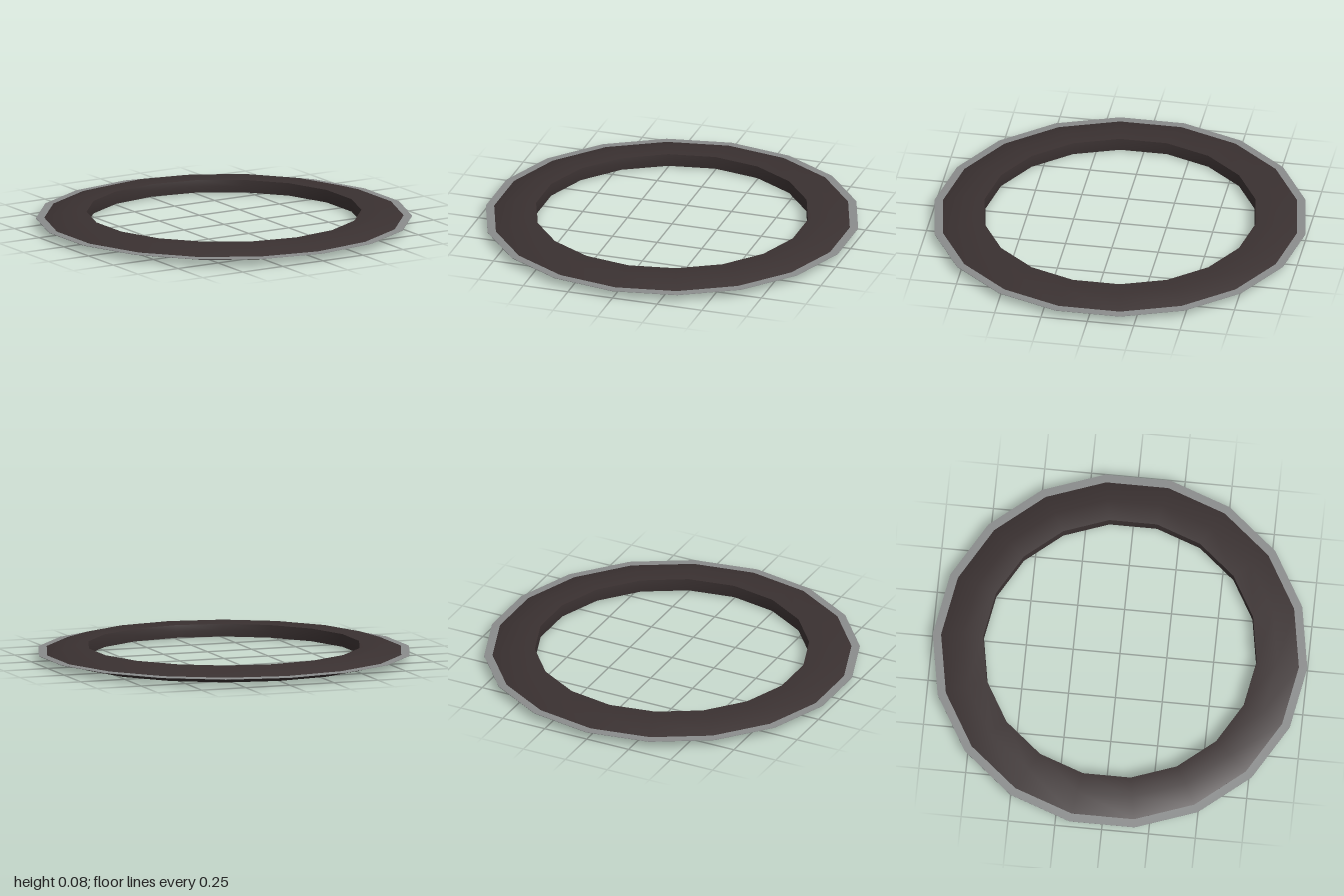
import * as THREE from 'three';
import { toCreasedNormals } from 'three/addons/utils/BufferGeometryUtils.js';

const SIDES = 18;

// Revolves a closed (radius, height) profile, listed counter-clockwise
function ring(name, profile, color) {
  const points = [...profile, profile[0]].map(([r, y]) => new THREE.Vector2(r, y));
  const geometry = toCreasedNormals(new THREE.LatheGeometry(points, SIDES), 0.7);
  const mesh = new THREE.Mesh(geometry, new THREE.MeshStandardMaterial({ color }));
  mesh.name = name;
  return mesh;
}

export function createModel() {
  const group = new THREE.Group();
  group.name = 'throwingRing';

  // Dark grip: upright inner wall, nearly flat faces, tapering outwards
  group.add(ring('gripRing', [
    [0.73, 0.006], [0.84, 0], [0.955, 0.037],
    [0.955, 0.043], [0.84, 0.08], [0.73, 0.074], [0.726, 0.04],
  ], 0x3a3131));

  // Thin blade around the rim, sharpened to an edge
  group.add(ring('bladeEdge', [
    [0.93, 0.036], [1, 0.039], [1, 0.041], [0.93, 0.044],
  ], 0x8a8c8c));

  return group;
}
